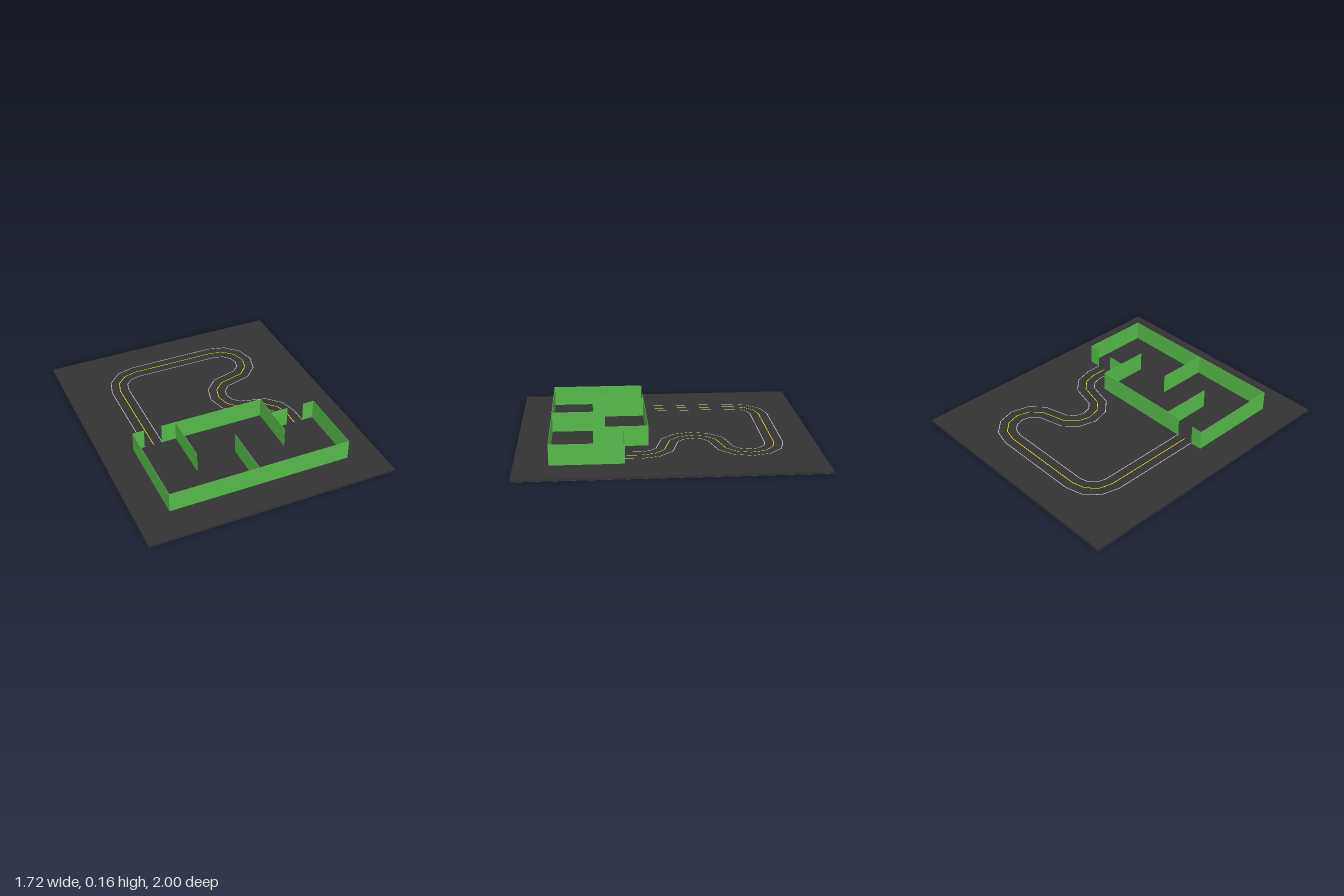
import * as THREE from 'three';

const BOARD_TOP = 0.016, WALL_TOP = 0.155, WALL_THICKNESS = 0.003;
const mat = (color, side = THREE.FrontSide) => new THREE.MeshStandardMaterial({ color, side });

function addBox(parent, name, material, size, position) {
  const mesh = new THREE.Mesh(new THREE.BoxGeometry(...size), material);
  mesh.name = name;
  mesh.position.set(...position);
  parent.add(mesh);
}

// Road centre line as [x, z, normalX, normalZ], made of straights and 30 degree arc steps
function roadCentre() {
  const r = 0.18, points = [[-0.49, 0.127, -1, 0]];
  const arc = (cx, cz, from, to) => {
    const steps = Math.abs(to - from) / 30, sign = Math.sign(to - from);
    for (let i = 0; i <= steps; i++) {
      const a = THREE.MathUtils.degToRad(from + sign * 30 * i);
      const c = Math.cos(a), s = Math.sin(a);
      points.push([cx + r * c, cz + r * s, sign * c, sign * s]);
    }
  };
  arc(-0.31, -0.54, 180, 270);
  arc(0.31, -0.54, 270, 450);
  arc(0.31, -0.18, -90, -270);
  arc(0.31, 0.18, 270, 360);
  points.push([0.49, 0.292, 1, 0]);
  return points;
}

// Flat painted stripe running parallel to the road centre
function stripe(centre, offset, width) {
  const positions = [], index = [];
  centre.forEach(([x, z, nx, nz], i) => {
    for (const d of [offset - width / 2, offset + width / 2]) {
      positions.push(x + nx * d, BOARD_TOP + 0.001, z + nz * d);
    }
    if (i > 0) {
      const a = 2 * i - 2;
      index.push(a, a + 2, a + 1, a + 1, a + 2, a + 3);
    }
  });
  const geometry = new THREE.BufferGeometry();
  geometry.setAttribute('position', new THREE.Float32BufferAttribute(positions, 3));
  geometry.setIndex(index);
  geometry.computeVertexNormals();
  return geometry;
}

export function createModel() {
  const model = new THREE.Group();
  model.name = 'roadAndRoomsBoard';

  // Base board with a paler underside
  addBox(model, 'board', mat(0x333333), [1.72, BOARD_TOP - 0.001, 2], [0, (BOARD_TOP + 0.001) / 2, 0]);
  addBox(model, 'underside', mat(0x555555), [1.72, 0.001, 2], [0, 0.0005, 0]);

  // Road markings
  const road = new THREE.Group();
  road.name = 'roadMarkings';
  const white = mat(0xffffff, THREE.DoubleSide), yellow = mat(0xffee00, THREE.DoubleSide);
  const centre = roadCentre();
  for (const [name, offset, material] of [
    ['outerLine', 0.062, white], ['centreLine', 0, yellow], ['innerLine', -0.062, white],
  ]) {
    const line = new THREE.Mesh(stripe(centre, offset, 0.005), material);
    line.name = name;
    road.add(line);
  }
  model.add(road);

  // Thin walls, each from (x1, z1) to (x2, z2); gaps form the doorways
  const walls = new THREE.Group();
  walls.name = 'walls';
  const green = mat(0x55bb4a);
  const left = -0.633, right = 0.633, front = 0.773, back = 0.126, step = 0.292;
  for (const [name, x1, z1, x2, z2] of [
    ['frontWall', left, front, right, front],
    ['westWall', left, back, left, front],
    ['eastWall', right, step, right, front],
    ['backWallCorner', left, back, -0.555, back],
    ['backWall', -0.428, back, 0.308, back],
    ['entranceWallInner', 0.308, step, 0.43, step],
    ['entranceWallCorner', 0.555, step, right, step],
    ['westPartition', -0.327, back, -0.327, 0.49],
    ['eastPartition', 0.308, back, 0.308, 0.49],
    ['middlePartition', -0.016, 0.41, -0.016, front],
  ]) {
    addBox(walls, name, green,
      [x2 - x1 + WALL_THICKNESS, WALL_TOP - BOARD_TOP, z2 - z1 + WALL_THICKNESS],
      [(x1 + x2) / 2, (WALL_TOP + BOARD_TOP) / 2, (z1 + z2) / 2]);
  }
  model.add(walls);
  return model;
}
